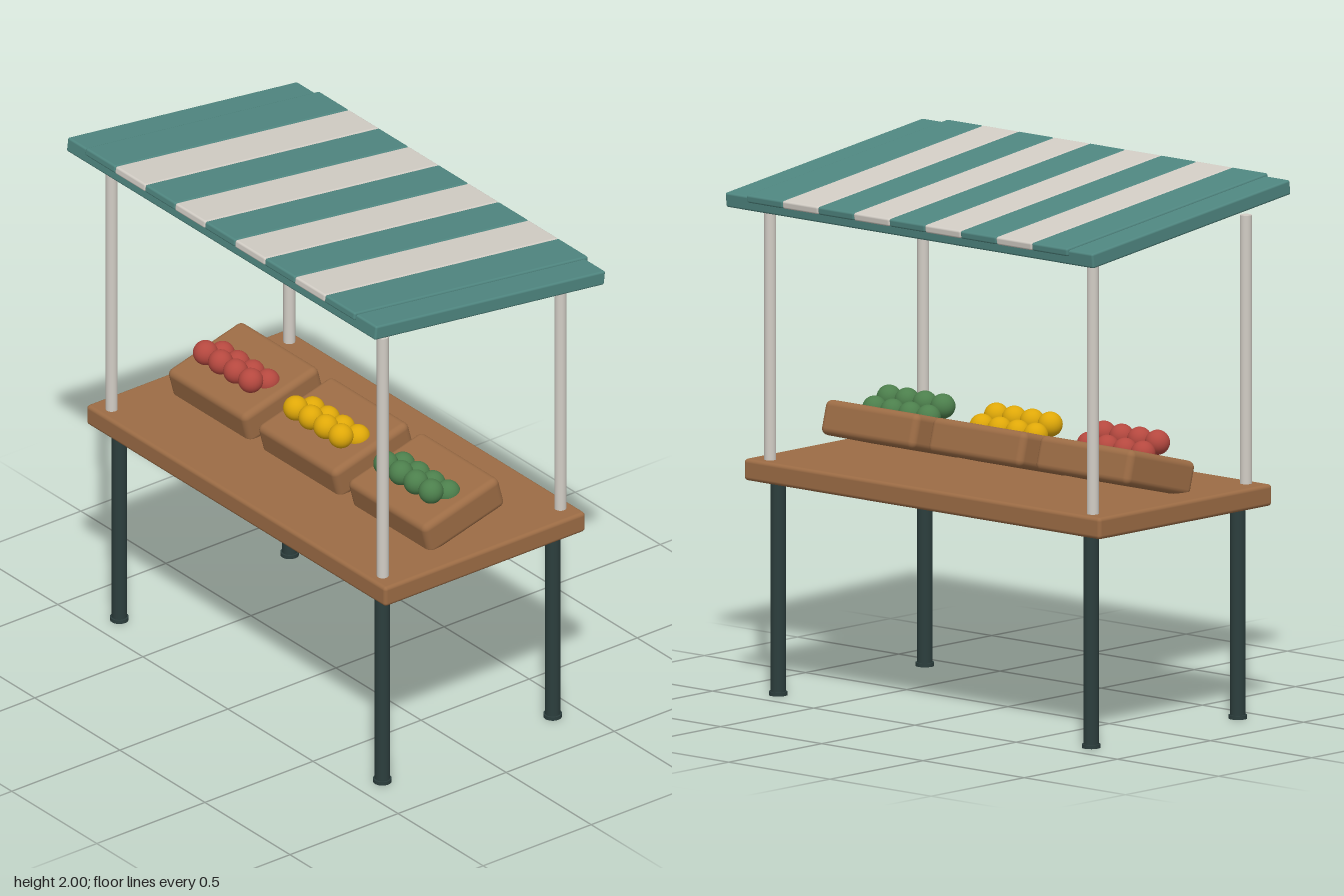
import * as THREE from 'three';
import { RoundedBoxGeometry } from 'three/addons/geometries/RoundedBoxGeometry.js';

const material = (name, color) => {
  const m = new THREE.MeshStandardMaterial({ color });
  m.name = name;
  return m;
};

export function createModel() {
  const teal = material('teal canvas', 0x4f8680);
  const cream = material('cream', 0xd2cdc5);
  const wood = material('wood', 0x9c6c45);
  const dark = material('dark metal', 0x2c3e3d);
  const red = material('red fruit', 0xb5483f);
  const yellow = material('yellow fruit', 0xdfa808);
  const green = material('green fruit', 0x4c7f4c);

  const model = new THREE.Group();
  model.name = 'marketStall';

  const add = (parent, name, geometry, mat, x, y, z) => {
    const mesh = new THREE.Mesh(geometry, mat);
    mesh.name = name;
    mesh.position.set(x, y, z);
    parent.add(mesh);
    return mesh;
  };
  const box = (w, h, d, r) => new RoundedBoxGeometry(w, h, d, 3, r);

  // Counter
  add(model, 'tableTop', box(1.76, 0.08, 0.93, 0.014), wood, 0, 0.83, 0);

  // Legs with feet, and canopy posts, at the four corners
  const legGeometry = new THREE.CylinderGeometry(0.028, 0.028, 0.79, 24);
  const footGeometry = new THREE.CylinderGeometry(0.034, 0.034, 0.014, 24);
  const postGeometry = new THREE.CylinderGeometry(0.022, 0.022, 1.0, 24);
  for (const sx of [-1, 1]) {
    for (const sz of [-1, 1]) {
      add(model, 'leg', legGeometry, dark, sx * 0.773, 0.405, sz * 0.394);
      add(model, 'foot', footGeometry, dark, sx * 0.773, 0.007, sz * 0.394);
      add(model, 'post', postGeometry, cream, sx * 0.797, 1.363, sz * 0.411);
    }
  }

  // Sloping canopy, higher at the front, with raised stripes
  const canopy = new THREE.Group();
  canopy.name = 'canopy';
  canopy.position.set(0, 1.8975, 0);
  canopy.rotation.x = -0.1225;
  model.add(canopy);
  add(canopy, 'canopySlab', box(1.816, 0.055, 1.07, 0.008), teal, 0, 0, 0);
  const stripeWidth = 0.176;
  const stripeGeometry = box(stripeWidth, 0.03, 1.09, 0.008);
  for (let i = -4; i <= 4; i++) {
    add(canopy, 'canopyStripe', stripeGeometry, i % 2 ? cream : teal, i * stripeWidth, 0.021, 0);
  }

  // Tilted crates, each with two rows of fruit
  const crateGeometry = box(0.462, 0.13, 0.363, 0.025);
  const fruitGeometry = new THREE.SphereGeometry(0.046, 24, 16);
  [red, yellow, green].forEach((fruitMaterial, i) => {
    const x = (i - 1) * 0.53;
    const crate = add(model, 'crate', crateGeometry, wood, x, 0.957, 0);
    crate.rotation.x = 0.26;
    for (const [y, z] of [[1.05, 0.082], [1.02, 0.004]]) {
      for (let k = 0; k < 4; k++) {
        add(model, 'fruit', fruitGeometry, fruitMaterial, x + (k - 1.5) * 0.0885, y, z);
      }
    }
  });

  return model;
}
